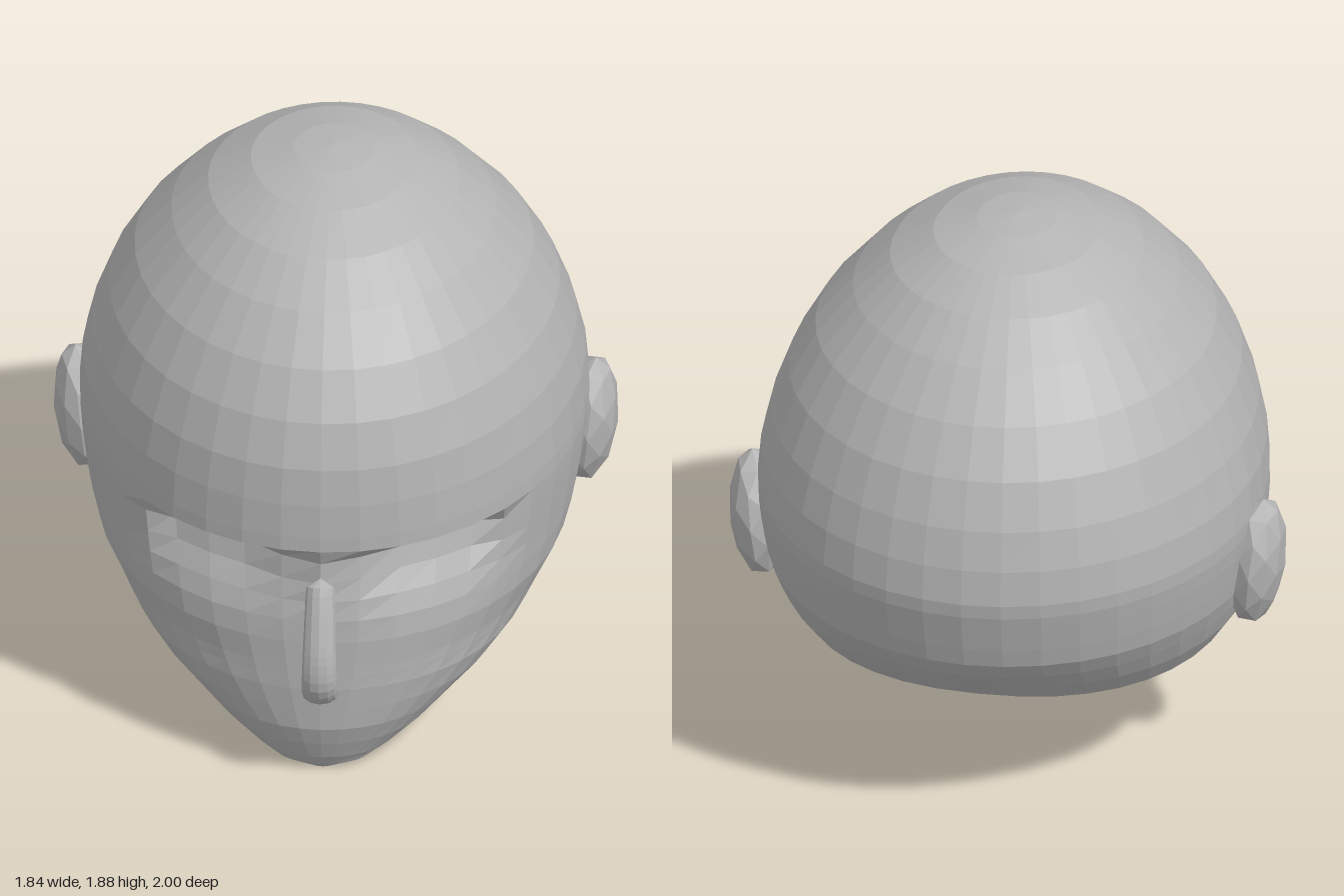
import * as THREE from 'three';

const SEGMENTS = 40;

// Horizontal rings of the head: height, front z, back z, half width, eye socket depth
const RINGS = [
  [0.00, 0.77, 0.72, 0.04, 0],
  [0.02, 0.785, 0.62, 0.15, 0],
  [0.06, 0.81, 0.42, 0.24, 0],
  [0.13, 0.84, 0.20, 0.35, 0],
  [0.20, 0.865, 0.00, 0.44, 0],
  [0.28, 0.87, -0.21, 0.55, 0],
  [0.36, 0.875, -0.42, 0.635, 0],
  [0.41, 0.875, -0.60, 0.68, 0],
  [0.45, 0.875, -0.71, 0.71, 0],
  [0.54, 0.875, -0.81, 0.765, 0],
  [0.62, 0.875, -0.89, 0.79, 0.01],
  [0.69, 0.875, -0.94, 0.805, 0.04],
  [0.76, 0.88, -0.96, 0.815, 0.09],
  [0.84, 0.885, -0.98, 0.825, 0.12],
  [0.90, 0.89, -0.995, 0.83, 0],
  [0.95, 0.89, -1.00, 0.83, 0],
  [1.07, 0.885, -0.985, 0.82, 0],
  [1.20, 0.87, -0.95, 0.79, 0],
  [1.35, 0.82, -0.885, 0.735, 0],
  [1.50, 0.73, -0.785, 0.65, 0],
  [1.64, 0.60, -0.65, 0.53, 0],
  [1.75, 0.45, -0.51, 0.41, 0],
  [1.83, 0.28, -0.36, 0.27, 0],
  [1.87, 0.11, -0.19, 0.13, 0],
];

function headGeometry() {
  const positions = [], indices = [];
  for (const [y, front, back, width, socket] of RINGS) {
    // The widest point sits behind the middle; the jaw underside is squarer
    const middle = front + (back - front) * 0.53;
    const jaw = THREE.MathUtils.clamp((0.6 - y) / 0.3, 0, 1);
    for (let i = 0; i < SEGMENTS; i++) {
      const a = (i / SEGMENTS) * Math.PI * 2;
      const c = Math.cos(a), s = Math.sin(a);
      const power = c < 0 ? 1 - 0.25 * jaw : 1;
      const x = width * Math.sign(s) * Math.abs(s) ** power;
      let z = middle + (c > 0 ? (front - middle) * c : -(middle - back) * Math.abs(c) ** power);
      if (c > 0) {
        const across = Math.abs(x);
        const inner = THREE.MathUtils.smoothstep(across, 0.0, 0.3);
        const outer = 1 - THREE.MathUtils.smoothstep(across, 0.48, 0.64);
        z -= socket * (0.15 + 0.85 * inner) * outer;
      }
      positions.push(x, y, z);
    }
  }
  const top = RINGS.length * SEGMENTS, bottom = top + 1;
  positions.push(0, 1.885, -0.04, 0, 0, 0.745);
  for (let i = 0; i < SEGMENTS; i++) {
    const n = (i + 1) % SEGMENTS;
    for (let r = 0; r < RINGS.length - 1; r++) {
      const a = r * SEGMENTS + i, b = r * SEGMENTS + n;
      indices.push(a, b, b + SEGMENTS, a, b + SEGMENTS, a + SEGMENTS);
    }
    const last = (RINGS.length - 1) * SEGMENTS;
    indices.push(last + i, last + n, top, n, i, bottom);
  }
  const geometry = new THREE.BufferGeometry();
  geometry.setAttribute('position', new THREE.Float32BufferAttribute(positions, 3));
  geometry.setIndex(indices);
  geometry.computeVertexNormals();
  return geometry;
}

// Bent nose: oval rings swept down a curve, with rounded ends
function noseGeometry() {
  const curve = new THREE.CatmullRomCurve3([
    [0.785, 0.865], [0.65, 0.92], [0.52, 0.96], [0.44, 0.96], [0.39, 0.93], [0.345, 0.86],
  ].map(([y, z]) => new THREE.Vector3(0, y, z)));
  const steps = 18, sides = 12;
  const geometry = new THREE.TubeGeometry(curve, steps, 1, sides, false);
  const p = geometry.attributes.position;
  const v = new THREE.Vector3();
  for (let i = 0; i < p.count; i++) {
    const t = Math.floor(i / (sides + 1)) / steps;
    const centre = curve.getPointAt(t);
    const end = Math.sqrt(Math.max(0, 1 - Math.max(0, 1 - t / 0.08) ** 2))
      * Math.sqrt(Math.max(0, 1 - Math.max(0, (t - 0.94) / 0.06) ** 2));
    v.fromBufferAttribute(p, i).sub(centre).multiplyScalar(0.04 * end);
    v.x *= 1.15 + 0.4 * t;
    v.add(centre);
    p.setXYZ(i, v.x, v.y, v.z);
  }
  geometry.computeVertexNormals();
  return geometry;
}

export function createModel() {
  const group = new THREE.Group();
  const grey = new THREE.MeshStandardMaterial({ color: 0xb4b4b4, flatShading: true });
  grey.name = 'grey';

  const add = (name, geometry) => {
    const mesh = new THREE.Mesh(geometry, grey);
    mesh.name = name;
    group.add(mesh);
    return mesh;
  };

  add('head', headGeometry());
  add('nose', noseGeometry());

  // Faceted oval ears, leaning out at the top
  for (const side of [1, -1]) {
    const ear = add(side > 0 ? 'leftEar' : 'rightEar', new THREE.IcosahedronGeometry(1, 1));
    ear.scale.set(0.095, 0.23, 0.15);
    ear.position.set(side * 0.825, 0.757, -0.2);
    ear.rotation.z = -side * 0.1;
  }
  return group;
}
